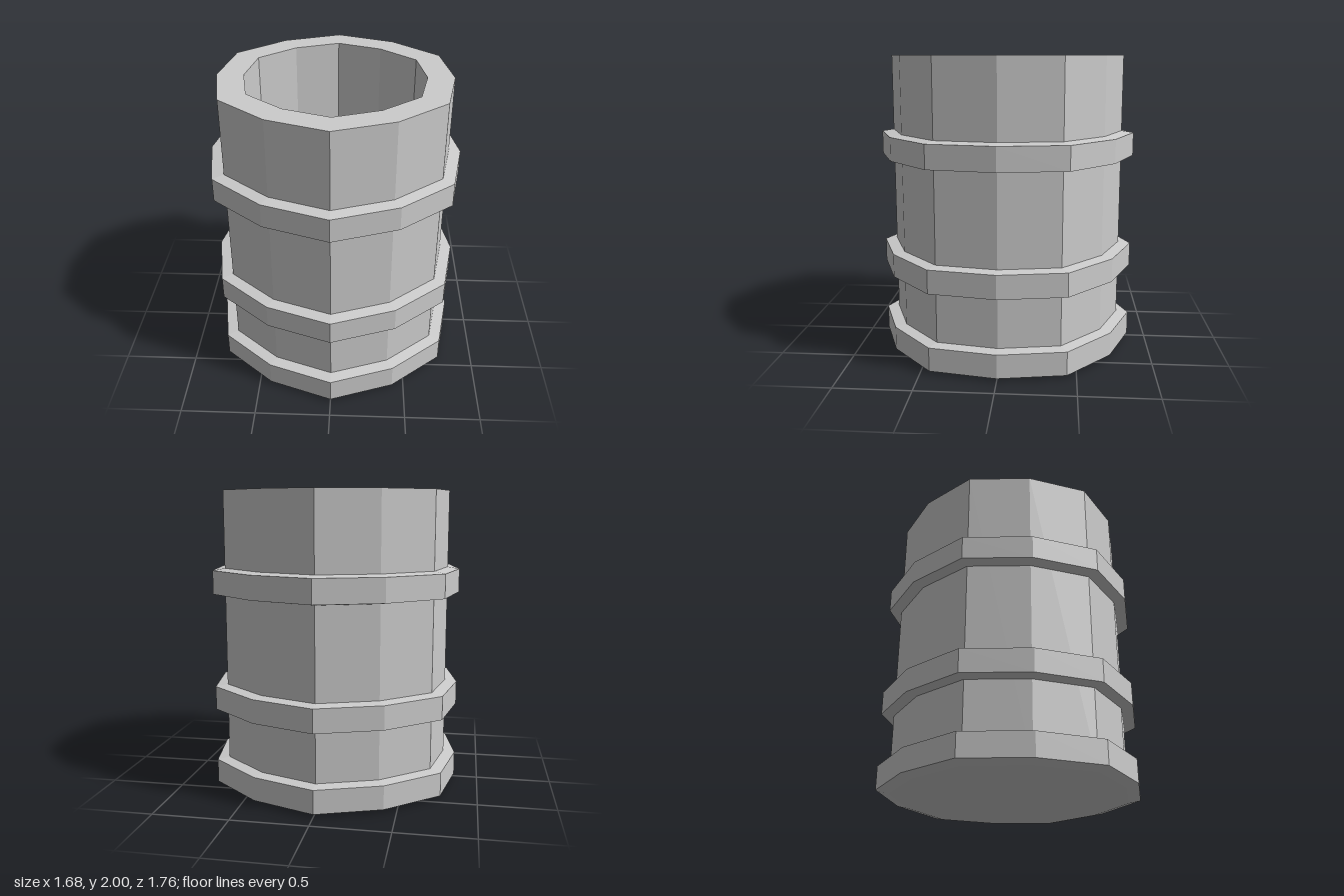
import * as THREE from 'three';

const SIDES = 12;
const FLAT = 0.957; // every second corner sits slightly closer to the axis

// Faceted ring of revolution from [radius, y] points, listed upwards on the outside
function facetedLathe(profile) {
  const lathe = new THREE.LatheGeometry(profile.map(([r, y]) => new THREE.Vector2(r, y)), SIDES);
  const pos = lathe.attributes.position;
  for (let i = 0; i < pos.count; i++) {
    const step = Math.floor(i / profile.length);
    if (step % 2) pos.setXYZ(i, pos.getX(i) * FLAT, pos.getY(i), pos.getZ(i) * FLAT);
  }
  const geometry = lathe.toNonIndexed();
  geometry.computeVertexNormals();
  return geometry;
}

export function createModel() {
  const group = new THREE.Group();
  group.name = 'barrel';
  const grey = new THREE.MeshStandardMaterial({ color: 0xcccccc, flatShading: true });
  grey.name = 'grey';

  const add = (name, profile) => {
    const mesh = new THREE.Mesh(facetedLathe(profile), grey);
    mesh.name = name;
    group.add(mesh);
  };

  const body = 0.796, hoop = 0.878, bore = 0.613, floor = 0.18;

  // Closed base, outer wall, thick rim, inner wall and inner floor
  add('body', [[0, 0], [body, 0], [body, 2], [bore, 2], [bore, floor], [0, floor]]);

  // Bevelled hoops: inner bottom, outer bottom, outer top, inner top heights
  const hoops = {
    bottomHoop: [0, 0.02, 0.177, 0.188],
    middleHoop: [0.525, 0.535, 0.692, 0.703],
    upperHoop: [1.308, 1.32, 1.477, 1.49],
  };
  for (const [name, [a, b, c, d]] of Object.entries(hoops)) {
    add(name, [[body, a], [hoop, b], [hoop, c], [body, d]]);
  }
  return group;
}
